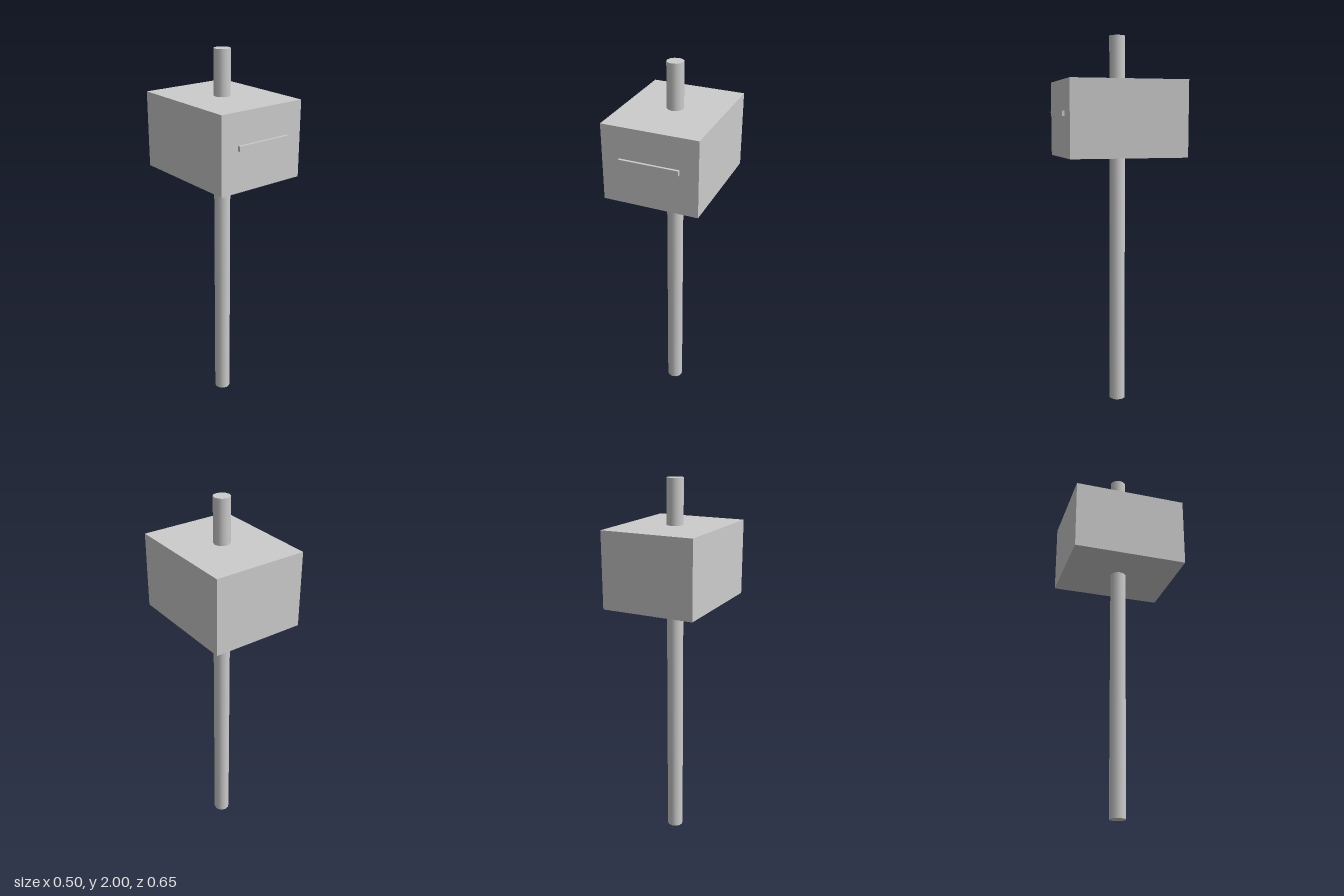
import * as THREE from 'three';

export function createModel() {
  const model = new THREE.Group();
  model.name = 'postMountedBox';

  const grey = new THREE.MeshStandardMaterial({ color: 0xcccccc });
  grey.name = 'light grey';

  const add = (name, geometry, x, y, z) => {
    const mesh = new THREE.Mesh(geometry, grey);
    mesh.name = name;
    mesh.position.set(x, y, z);
    model.add(mesh);
  };

  // Post running through the box from the ground to the top
  add('post', new THREE.CylinderGeometry(0.0435, 0.0435, 2, 12), 0, 1, -0.01);

  // Box body
  add('box', new THREE.BoxGeometry(0.5, 0.4, 0.625), 0, 1.565, -0.01);

  // Slim bar just ahead of the front face
  add('frontBar', new THREE.BoxGeometry(0.312, 0.026, 0.0135), 0, 1.592, 0.3158);

  return model;
}
